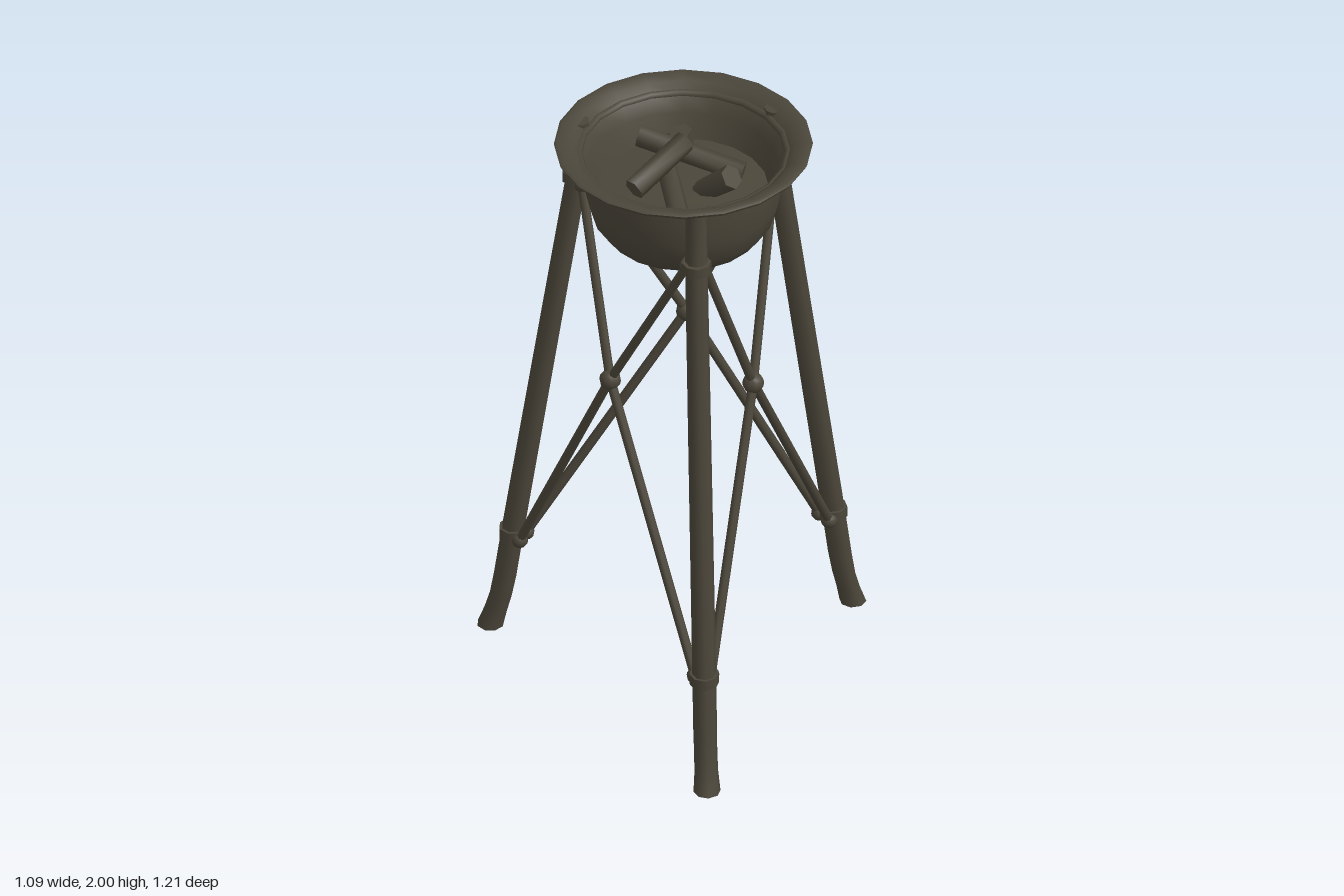
import * as THREE from 'three';
import { toCreasedNormals } from 'three/addons/utils/BufferGeometryUtils.js';

const iron = new THREE.MeshStandardMaterial({ color: 0x4b463a });
iron.name = 'dark iron';

function part(name, geometry, parent) {
  const mesh = new THREE.Mesh(geometry, iron);
  mesh.name = name;
  parent.add(mesh);
  return mesh;
}

// Straight rod between two points
function rod(name, a, b, r0, r1, sides, parent) {
  const mesh = part(name, new THREE.CylinderGeometry(r1, r0, a.distanceTo(b), sides), parent);
  mesh.position.copy(a).lerp(b, 0.5);
  mesh.quaternion.setFromUnitVectors(new THREE.Vector3(0, 1, 0), b.clone().sub(a).normalize());
  return mesh;
}

function knob(name, p, r, parent) {
  part(name, new THREE.SphereGeometry(r, 10, 8), parent).position.copy(p);
}

function lathe(points, sides = 20) {
  const g = new THREE.LatheGeometry(points.map(([x, y]) => new THREE.Vector2(x, y)), sides);
  return toCreasedNormals(g, 0.9);
}

// Point at radius r, height y and angle a, shifted sideways by s
const polar = (r, y, a, s = 0) => new THREE.Vector3(
  r * Math.cos(a) - s * Math.sin(a), y, r * Math.sin(a) + s * Math.cos(a));

// Leg stations from the top: distance from the axis, height, leg radius
const stations = [
  [0.35, 1.975, 0.032], [0.358, 1.77, 0.035], [0.575, 0.37, 0.037],
  [0.6, 0.2, 0.037], [0.615, 0.12, 0.036], [0.632, 0.06, 0.037], [0.65, 0, 0.042],
];

function legGeometry() {
  const n = stations.length - 1;
  const g = new THREE.CylinderGeometry(1, 1, n, 8, n);
  const p = g.attributes.position;
  for (let i = 0; i < p.count; i++) {
    const [x, y, r] = stations[Math.round(n / 2 - p.getY(i))];
    p.setXYZ(i, x + p.getX(i) * r, y, p.getZ(i) * r);
  }
  return toCreasedNormals(g, 0.9);
}

export function createModel() {
  const model = new THREE.Group();
  model.name = 'fire bowl stand';
  const stand = new THREE.Group();
  stand.name = 'stand';
  stand.position.x = -0.15;
  model.add(stand);

  // Bowl with a wide rim, outside from the bottom up and then down the inside
  part('bowl', lathe([
    [0, 1.625], [0.1, 1.63], [0.18, 1.643], [0.24, 1.672], [0.28, 1.725], [0.302, 1.8],
    [0.31, 1.88], [0.312, 1.95], [0.34, 1.968], [0.395, 1.974], [0.4, 1.984], [0.39, 1.99],
    [0.35, 1.978], [0.315, 1.95], [0.29, 1.9], [0.262, 1.815],
  ]), stand);
  part('ash bed', lathe([[0.265, 1.82], [0.14, 1.83], [0, 1.835]]), stand);
  const ring = part('support ring', new THREE.TorusGeometry(0.326, 0.014, 8, 20), stand);
  ring.rotation.x = Math.PI / 2;
  ring.position.y = 1.948;

  // Three legs, each with two collars and the crossed braces to the next leg
  const third = (Math.PI * 2) / 3;
  const legShape = legGeometry();
  for (let i = 0; i < 3; i++) {
    const side = new THREE.Group();
    side.name = 'side' + (i + 1);
    side.rotation.y = -i * third;
    stand.add(side);
    part('leg', legShape, side);
    for (const [r, y] of [[0.36, 1.77], [0.572, 0.37]]) {
      part('collar', new THREE.CylinderGeometry(0.046, 0.046, 0.036, 8), side).position.set(r, y, 0);
    }
    const crossing = polar(0.255, 1.18, 1.2);
    knob('crossing knob', crossing, 0.034, side);
    for (const [a, s] of [[0, 0.025], [third, -0.025]]) {
      for (const [r, y] of [[0.33, 1.755], [0.54, 0.36]]) {
        const end = polar(r, y, a, s);
        knob('brace knob', end, 0.026, side);
        rod('brace', end, crossing, 0.015, 0.015, 8, side);
      }
    }
  }

  // Loose pile of firewood: start, end, start radius, end radius
  const logs = [
    [[-0.18, 1.92, -0.19], [0.02, 1.85, 0.08], 0.034, 0.032],
    [[-0.34, 1.89, 0.0], [-0.12, 1.965, -0.03], 0.036, 0.035],
    [[-0.16, 1.87, -0.08], [-0.3, 1.835, 0.2], 0.032, 0.034],
    [[-0.12, 1.82, 0.05], [-0.083, 1.92, 0.16], 0.034, 0.04],
    [[-0.05, 1.8, -0.13], [-0.064, 1.92, -0.135], 0.036, 0.038],
  ];
  for (const [a, b, r0, r1] of logs) {
    const log = rod('log', new THREE.Vector3(...a), new THREE.Vector3(...b), r0, r1, 6, model);
    log.geometry = toCreasedNormals(log.geometry, 1.2);
  }
  return model;
}
